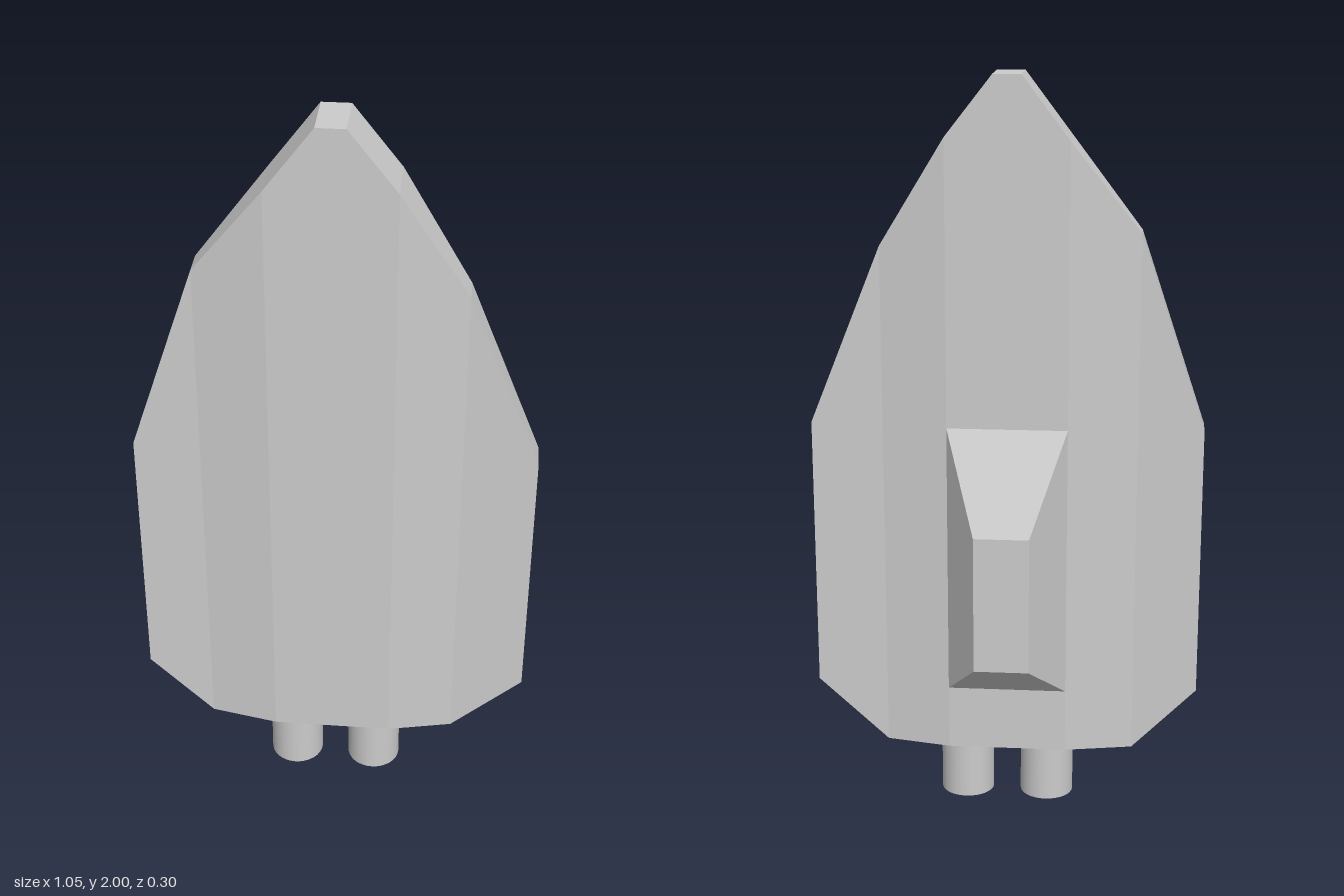
import * as THREE from 'three';

const material = new THREE.MeshStandardMaterial({ color: 0xcccccc, flatShading: true });
const smooth = new THREE.MeshStandardMaterial({ color: 0xcccccc });

// Joins a row of four-cornered rings with flat faces and closes both ends.
// Corners run counter-clockwise as seen from the last ring's end.
function loft(name, rings) {
  const pos = [];
  const quad = (a, b, c, d) => pos.push(...a, ...b, ...c, ...a, ...c, ...d);
  for (let i = 0; i < rings.length - 1; i++) {
    const r = rings[i], s = rings[i + 1];
    for (let k = 0; k < 4; k++) {
      const n = (k + 1) % 4;
      quad(r[k], r[n], s[n], s[k]);
    }
  }
  const first = rings[0], last = rings[rings.length - 1];
  quad(first[3], first[2], first[1], first[0]);
  quad(...last);
  const geometry = new THREE.BufferGeometry();
  geometry.setAttribute('position', new THREE.Float32BufferAttribute(pos, 3));
  geometry.computeVertexNormals();
  const mesh = new THREE.Mesh(geometry, material);
  mesh.name = name;
  return mesh;
}

export function createModel() {
  const group = new THREE.Group();
  group.name = 'shieldCraft';

  // Hull: upright slices from right to left [x, bottom, top, back, front]
  const slices = [
    [-0.527, 0.33, 1.077, 0.036, 0.11],
    [-0.352, 0.153, 1.597, 0.036, 0.11],
    [-0.167, 0.153, 1.835, 0, 0.147],
    [-0.042, 0.153, 2, 0, 0.147],
    [0.032, 0.153, 2, 0, 0.147],
    [0.156, 0.153, 1.842, 0, 0.147],
    [0.332, 0.153, 1.557, 0.036, 0.11],
    [0.525, 0.33, 1.077, 0.036, 0.11],
  ];
  group.add(loft('hull', slices.map(([x, y0, y1, z0, z1]) =>
    [[x, y0, z0], [x, y1, z0], [x, y1, z1], [x, y0, z1]])));

  // Raised housing on the back, from wide base to narrow top
  const rect = (x0, x1, y0, y1, z) => [[x0, y0, z], [x0, y1, z], [x1, y1, z], [x1, y0, z]];
  group.add(loft('backHousing', [
    rect(-0.167, 0.156, 0.33, 1.077, 0),
    rect(-0.075, 0.072, 0.445, 0.82, -0.148),
  ]));

  // Pair of thruster cylinders under the hull
  for (const [name, x] of [['rightThruster', -0.113], ['leftThruster', 0.11]]) {
    const thruster = new THREE.Mesh(new THREE.CylinderGeometry(0.0735, 0.0735, 0.153, 32), smooth);
    thruster.name = name;
    thruster.position.set(x, 0.0765, 0.0735);
    group.add(thruster);
  }
  return group;
}
